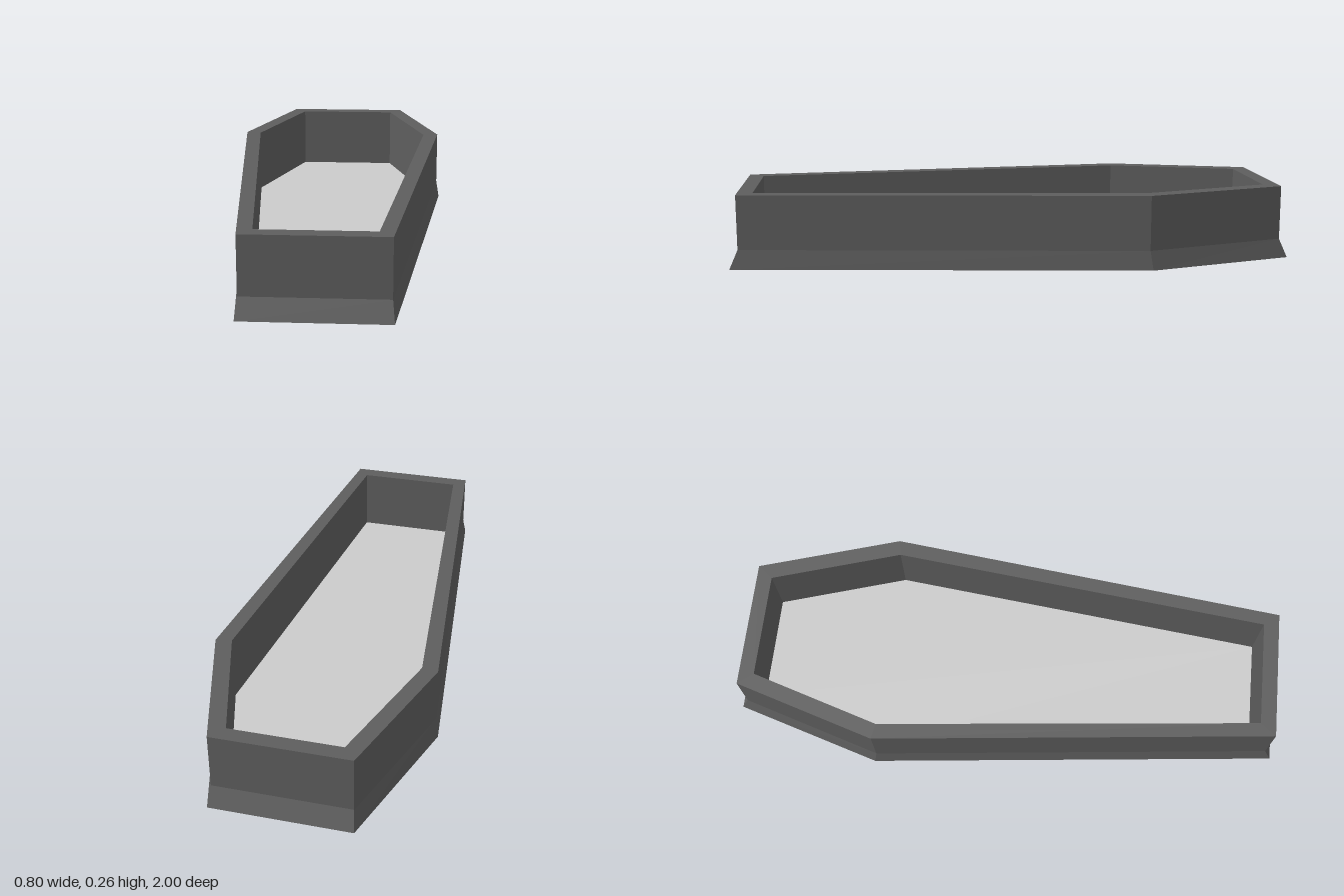
import * as THREE from 'three';

// Six-cornered outline, counter-clockwise from above
function outline(y, endX, shoulderX, shoulderZ, endZ) {
  const right = [[endX, endZ], [shoulderX, shoulderZ], [endX, -endZ]];
  const left = right.map(([x, z]) => [-x, z]).reverse();
  return [...right, ...left].map(([x, z]) => [x, y, z]);
}

function flatMesh(name, triangles, color) {
  const geometry = new THREE.BufferGeometry();
  geometry.setAttribute('position', new THREE.Float32BufferAttribute(triangles.flat(), 3));
  geometry.computeVertexNormals();
  const mesh = new THREE.Mesh(geometry, new THREE.MeshStandardMaterial({ color }));
  mesh.name = name;
  return mesh;
}

// Bands of quads joining successive outlines
function loft(rings) {
  const out = [];
  for (let r = 0; r + 1 < rings.length; r++) {
    const lower = rings[r], upper = rings[r + 1], n = lower.length;
    for (let i = 0; i < n; i++) {
      const j = (i + 1) % n;
      out.push(lower[i], lower[j], upper[j], lower[i], upper[j], upper[i]);
    }
  }
  return out;
}

// Flat cap over a convex outline
function cap(ring, facesUp) {
  const out = [];
  for (let i = 1; i + 1 < ring.length; i++) {
    out.push(ring[0], ...(facesUp ? [ring[i], ring[i + 1]] : [ring[i + 1], ring[i]]));
  }
  return out;
}

export function createModel() {
  const model = new THREE.Group();
  model.name = 'openCoffin';
  const dark = 0x5e5e5e;

  const base = outline(0, 0.24, 0.4, -0.47, 1);
  const plinthTop = outline(0.068, 0.233, 0.389, -0.46, 0.97);
  const rimOuter = outline(0.262, 0.233, 0.389, -0.46, 0.97);
  const rimInner = outline(0.262, 0.19, 0.333, -0.45, 0.915);
  const floor = outline(0.03, 0.19, 0.333, -0.45, 0.915);

  model.add(
    flatMesh('flaredPlinth', loft([base, plinthTop]), dark),
    flatMesh('walls', loft([plinthTop, rimOuter, rimInner, floor]), dark),
    flatMesh('underside', cap(base, false), dark),
    flatMesh('innerFloor', cap(floor, true), 0xcccccc),
  );
  return model;
}
